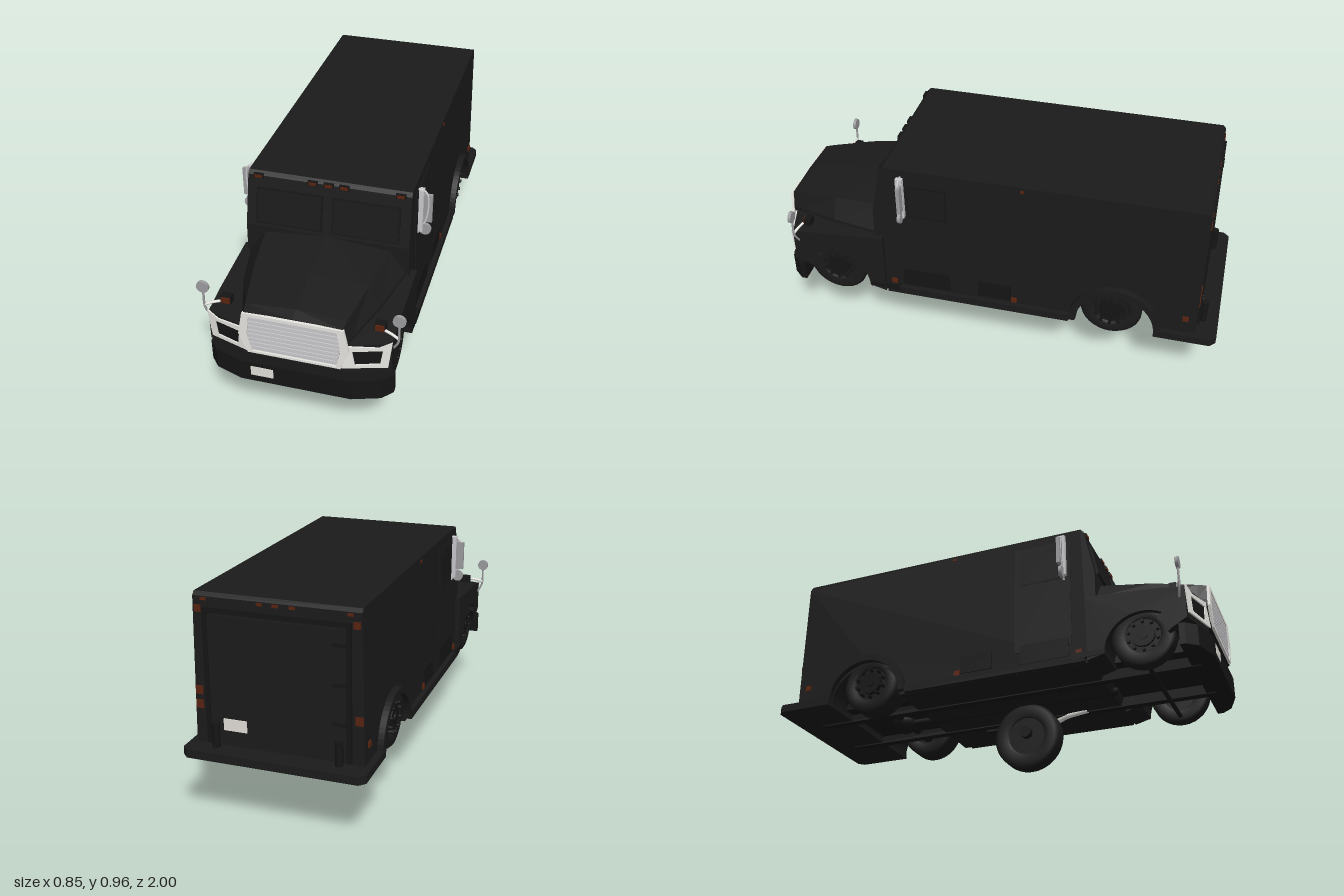
import * as THREE from 'three';

const mat = (name, color) => {
  const m = new THREE.MeshStandardMaterial({ color, side: THREE.DoubleSide });
  m.name = name;
  return m;
};

export function createModel() {
  const M = {
    body: mat('charcoal paint', 0x1b1b1b), trim: mat('black trim', 0x151515),
    glass: mat('dark glass', 0x191919), tyre: mat('rubber', 0x1b1b1b),
    chrome: mat('bright chrome', 0xf4f3ee), steel: mat('grey steel', 0x9c9c9f),
    slat: mat('polished slats', 0xcacace), amber: mat('amber lens', 0x5a2410),
    plate: mat('blank plate', 0xe3e0d9),
  };
  const truck = new THREE.Group();
  truck.name = 'armoredTruck';

  // ---------- helpers ----------
  const add = (name, geo, m, x = 0, y = 0, z = 0, parent = truck) => {
    const mesh = new THREE.Mesh(geo, m);
    mesh.name = name;
    mesh.position.set(x, y, z);
    parent.add(mesh);
    return mesh;
  };
  const box = (name, m, w, h, d, x, y, z, p) => add(name, new THREE.BoxGeometry(w, h, d), m, x, y, z, p);
  const both = (f) => [-1, 1].forEach(f);
  const poly = (pts) => new THREE.Shape(pts.map(([a, b]) => new THREE.Vector2(a, b)));
  const extrude = (shape, depth) => new THREE.ExtrudeGeometry(shape, { depth, bevelEnabled: false, curveSegments: 14 });
  const tube = (name, m, r, pts) => add(name, new THREE.TubeGeometry(
    new THREE.CatmullRomCurve3(pts.map((p) => new THREE.Vector3(...p))), 16, r, 8), m);
  const rod = (name, m, r, len, axis, x, y, z, p) => {
    const g = new THREE.CylinderGeometry(r, r, len, 20);
    if (axis === 'x') g.rotateZ(Math.PI / 2);
    if (axis === 'z') g.rotateX(Math.PI / 2);
    return add(name, g, m, x, y, z, p);
  };
  // side profile (z, y) extruded across x, and plan outline (x, z) extruded down from y = 0
  const sideExtrude = (shape, width) => extrude(shape, width).translate(0, 0, -width / 2).rotateY(-Math.PI / 2);
  const planExtrude = (shape, height) => extrude(shape, height).rotateX(Math.PI / 2);
  const bend = (g, rule) => {
    const p = g.attributes.position, v = new THREE.Vector3();
    for (let i = 0; i < p.count; i++) {
      rule(v.fromBufferAttribute(p, i));
      p.setXYZ(i, v.x, v.y, v.z);
    }
    g.computeVertexNormals();
    return g;
  };
  // half sections mirrored in x and joined along z, faceted
  const loft = (sections) => {
    const rings = sections.map(([z, pts]) => [...pts.map(([x, y]) => [x, y, z]),
      ...pts.slice(1).reverse().map(([x, y]) => [-x, y, z])]);
    const pos = [], n = rings[0].length;
    for (let s = 0; s < rings.length - 1; s++) for (let i = 0; i < n; i++) {
      const a = rings[s][i], b = rings[s][(i + 1) % n], c = rings[s + 1][(i + 1) % n], d = rings[s + 1][i];
      pos.push(...a, ...d, ...c, ...a, ...c, ...b);
    }
    const g = new THREE.BufferGeometry();
    g.setAttribute('position', new THREE.Float32BufferAttribute(pos, 3));
    g.computeVertexNormals();
    return g;
  };
  const slope = 0.02;
  const halfWidth = (y) => 0.358 - (y - 0.3) * slope;

  // ---------- armoured box with rear wheel cut-outs and sloping cab front ----------
  const profile = new THREE.Shape();
  profile.moveTo(0.5, 0.3).lineTo(0.54, 0.42).lineTo(0.54, 0.73).lineTo(0.495, 0.95).lineTo(0.48, 0.965)
    .lineTo(-0.895, 0.965).lineTo(-0.908, 0.95).lineTo(-0.908, 0.3).lineTo(-0.73, 0.3);
  profile.absarc(-0.555, 0.3, 0.175, Math.PI, 0, true);
  profile.lineTo(0.5, 0.3);
  add('cargoBody', bend(sideExtrude(profile, 2), (v) => { v.x = Math.sign(v.x) * halfWidth(v.y); }), M.body);

  // ---------- hood and fenders ----------
  add('hood', loft([
    [0.53, [[0, 0.73], [0.27, 0.705], [0.34, 0.61], [0.35, 0.44]]],
    [0.76, [[0, 0.7], [0.24, 0.685], [0.29, 0.6], [0.3, 0.44]]],
    [0.95, [[0, 0.668], [0.205, 0.655], [0.225, 0.58], [0.23, 0.44]]],
    [0.992, [[0, 0.652], [0.2, 0.645], [0.215, 0.57], [0.19, 0.44]]],
  ]), M.body);
  const fender = new THREE.Shape();
  fender.moveTo(0.5, 0.3).lineTo(0.5, 0.6).lineTo(0.86, 0.578).lineTo(0.98, 0.56).lineTo(0.98, 0.42).lineTo(0.91, 0.38);
  fender.absarc(0.74, 0.32, 0.165, 0.3, Math.PI, false);
  fender.lineTo(0.5, 0.3);
  const sweep = (v) => { if (v.z > 0.85) v.z -= (Math.abs(v.x) - 0.2) * 0.3; };
  both((s) => {
    add('frontFender', bend(sideExtrude(fender, 0.175).translate(s * 0.29, 0, 0), sweep), M.body);
    // raised lip round the rear wheel
    const lip = new THREE.Shape();
    lip.absarc(0, 0, 0.205, 0, Math.PI, false);
    lip.absarc(0, 0, 0.175, Math.PI, 0, true);
    add('rearArchLip', sideExtrude(lip, 0.04), M.body, s * 0.362, 0.315, -0.555);
    box('cabStep', M.trim, 0.06, 0.025, 0.14, s * 0.35, 0.33, 0.5);
    box('sill', M.body, 0.04, 0.035, 0.84, s * 0.359, 0.318, 0.07);
  });

  // ---------- grille and headlights ----------
  const outer = poly([[-0.205, 0.645], [0.205, 0.645], [0.225, 0.54], [0.19, 0.45], [-0.19, 0.45], [-0.225, 0.54]]);
  outer.holes.push(poly([[-0.178, 0.63], [0.178, 0.63], [0.19, 0.54], [0.172, 0.46], [-0.172, 0.46], [-0.19, 0.54]]));
  add('grilleFrame', extrude(outer, 0.012), M.chrome, 0, 0, 0.988);
  box('grilleBacking', M.trim, 0.36, 0.17, 0.004, 0, 0.545, 0.989);
  for (let i = 0; i < 8; i++) {
    const y = 0.474 + i * 0.0207, w = 2 * (y < 0.54 ? 0.172 + (y - 0.46) * 0.22 : 0.19 - (y - 0.54) * 0.13);
    box('grilleSlat', M.slat, w, 0.017, 0.006, 0, y, 0.994);
  }
  const lampRing = poly([[0.19, 0.445], [0.365, 0.445], [0.38, 0.57], [0.33, 0.545], [0.21, 0.555]]);
  lampRing.holes.push(poly([[0.24, 0.46], [0.335, 0.463], [0.345, 0.53], [0.23, 0.53]]));
  both((s) => {
    const shear = (v) => { v.z -= (v.x - 0.2) * 0.3; v.x *= s; };
    add('headlightSurround', bend(extrude(lampRing, 0.007).translate(0, 0, 0.98), shear), M.chrome);
    add('headlight', bend(extrude(poly([[0.243, 0.465], [0.333, 0.467], [0.341, 0.525], [0.235, 0.525]]), 0.004)
      .translate(0, 0, 0.981), shear), M.trim);
    box('turnSignal', M.trim, 0.044, 0.034, 0.03, s * 0.318, 0.594, 0.87);
    box('turnSignalLens', M.amber, 0.036, 0.026, 0.006, s * 0.318, 0.594, 0.888);
  });

  // ---------- bumpers, plates, rear step ----------
  const bumper = poly([[-0.385, 0.89], [-0.385, 0.915], [-0.345, 0.96], [-0.23, 0.998],
    [0.23, 0.998], [0.345, 0.96], [0.385, 0.915], [0.385, 0.89]]);
  add('frontBumper', planExtrude(bumper, 0.095), M.trim, 0, 0.393, 0);
  box('frontApron', M.trim, 0.66, 0.07, 0.04, 0, 0.415, 0.9);
  box('frontPlate', M.plate, 0.095, 0.045, 0.006, -0.137, 0.352, 0.997);
  // step wraps round the rear corners as far as the wheels
  const step = poly([[-0.385, -0.73], [-0.385, -0.975], [-0.36, -1], [0.36, -1], [0.385, -0.975],
    [0.385, -0.73], [0.34, -0.73], [0.34, -0.89], [-0.34, -0.89], [-0.34, -0.73]]);
  add('rearStep', planExtrude(step, 0.035), M.body, 0, 0.335, 0);
  box('rearPlate', M.plate, 0.1, 0.05, 0.006, 0.18, 0.43, -0.918);
  both((s) => rod('stepPost', M.trim, 0.016, 0.11, 'y', s * 0.26, 0.385, -0.932));

  // ---------- rear door ----------
  box('rearDoor', M.body, 0.58, 0.53, 0.012, 0, 0.615, -0.911);
  both((s) => box('doorRail', M.trim, 0.02, 0.56, 0.016, s * 0.295, 0.62, -0.912));
  box('doorHeader', M.trim, 0.61, 0.02, 0.016, 0, 0.9, -0.912);
  for (let i = 0; i < 3; i++) box('doorHinge', M.trim, 0.06, 0.015, 0.014, -0.26, 0.5 + i * 0.16, -0.916);

  // ---------- windows, doors and hatches ----------
  both((s) => {
    const shield = new THREE.Group();
    shield.name = 'windshield';
    shield.position.set(s * 0.163, 0.823, 0.523);
    shield.rotation.x = -0.2;
    truck.add(shield);
    box('windshieldFrame', M.trim, 0.285, 0.16, 0.006, 0, 0, 0, shield);
    box('windshieldGlass', M.glass, 0.27, 0.146, 0.008, 0, 0, 0.002, shield);
    const panel = (name, m, z, y, d, h, out = 0.001) => {
      const p = box(name, m, 0.008, h, d, s * (halfWidth(y) + out), y, z);
      p.rotation.z = s * slope;
    };
    panel('cabDoor', M.body, 0.3, 0.66, 0.26, 0.52, -0.001);
    panel('sideWindowFrame', M.trim, 0.29, 0.81, 0.18, 0.16, 0.001);
    panel('sideWindow', M.glass, 0.29, 0.81, 0.168, 0.148, 0.002);
    panel('lowerHatch', M.trim, 0.305, 0.39, 0.22, 0.09);
    panel('smallHatch', M.trim, -0.01, 0.39, 0.15, 0.08);
    [[0.46, 0.355], [-0.1, 0.355], [-0.86, 0.41]].forEach(([z, y]) =>
      panel('sideMarker', M.amber, z, y, 0.026, 0.024, 0.003));
    panel('upperMarker', M.amber, -0.13, 0.945, 0.016, 0.012, 0);
    box('upperRearLamp', M.amber, 0.028, 0.028, 0.008, s * 0.325, 0.9, -0.908);
  });
  // tail lamps: a pair on the left, a single one on the right
  [[0.335, 0.56], [0.335, 0.5], [-0.335, 0.52]].forEach(([x, y]) =>
    box('tailLamp', M.amber, 0.032, 0.036, 0.008, x, y, -0.908));
  [-0.3, -0.068, 0, 0.065, 0.3].forEach((x) => {
    box('roofMarkerBase', M.trim, 0.042, 0.02, 0.012, x, 0.948, 0.494);
    box('roofMarker', M.amber, 0.032, 0.014, 0.006, x, 0.948, 0.499);
    box('rearMarker', M.amber, 0.024, 0.012, 0.006, x, 0.94, -0.908);
  });

  // ---------- mirrors ----------
  both((s) => {
    box('mainMirror', M.steel, 0.036, 0.13, 0.016, s * 0.392, 0.845, 0.395);
    box('mirrorBracket', M.slat, 0.02, 0.2, 0.03, s * 0.365, 0.835, 0.4);
    tube('mirrorArm', M.slat, 0.005, [[s * 0.35, 0.935, 0.4], [s * 0.385, 0.92, 0.4], [s * 0.388, 0.8, 0.4], [s * 0.352, 0.72, 0.4]]);
    rod('roundMirror', M.steel, 0.026, 0.014, 'z', s * 0.383, 0.745, 0.4);
    rod('fenderMirror', M.steel, 0.026, 0.014, 'z', s * 0.4, 0.665, 0.91);
    tube('fenderMirrorStalk', M.steel, 0.005, [[s * 0.4, 0.64, 0.91], [s * 0.397, 0.56, 0.91], [s * 0.37, 0.51, 0.9]]);
    tube('fenderMirrorBrace', M.chrome, 0.006, [[s * 0.34, 0.59, 0.89], [s * 0.37, 0.585, 0.9], [s * 0.4, 0.575, 0.91]]);
  });

  // ---------- wheels ----------
  const wheel = (name, r, w, x, y, z, side, hubMat) => {
    const g = new THREE.Group();
    g.name = name;
    g.position.set(x, y, z);
    truck.add(g);
    const h = w / 2, pts = [[0.56, -0.8], [0.62, -1], [0.9, -1], [1, -0.75], [1, 0.75], [0.9, 1], [0.62, 1], [0.56, 0.8]];
    const tyre = new THREE.LatheGeometry(pts.map(([a, b]) => new THREE.Vector2(a * r, b * h)), 32);
    add('tyre', tyre.rotateZ(Math.PI / 2), M.tyre, 0, 0, 0, g);
    rod('rim', M.body, r * 0.58, w * 0.7, 'x', 0, 0, 0, g);
    rod('rimCentre', M.trim, r * 0.38, w * 0.3, 'x', side * h * 0.8, 0, 0, g);
    rod('hub', hubMat, r * 0.16, w * 0.15, 'x', side * h * 1.05, 0, 0, g);
    for (let i = 0; i < 10; i++) {
      const a = i * Math.PI / 5;
      rod('wheelNut', M.trim, r * 0.055, w * 0.25, 'x', side * h, Math.cos(a) * r * 0.48, Math.sin(a) * r * 0.48, g);
    }
  };
  both((s) => {
    wheel('frontWheel', 0.135, 0.065, s * 0.322, 0.385, 0.735, s, M.trim);
    wheel('rearWheel', 0.135, 0.12, s * 0.295, 0.385, -0.535, s, M.trim);
  });
  wheel('spareWheel', 0.152, 0.084, 0, 0.153, 0.1, 1, M.chrome);
  rod('spareBoss', M.trim, 0.026, 0.03, 'x', -0.042, 0.165, 0.1);

  // ---------- chassis ----------
  box('wheelWellCore', M.trim, 0.46, 0.16, 0.44, 0, 0.41, -0.55);
  box('engineBay', M.trim, 0.46, 0.14, 0.46, 0, 0.41, 0.7);
  both((s) => box('frameRail', M.trim, 0.04, 0.06, 1.82, s * 0.15, 0.325, 0.02));
  rod('frontAxle', M.trim, 0.01, 0.56, 'x', 0, 0.272, 0.735);
  rod('rearAxle', M.trim, 0.025, 0.5, 'x', 0, 0.34, -0.535);
  add('differential', new THREE.SphereGeometry(0.06, 16, 12), M.trim, 0, 0.33, -0.535);
  rod('driveShaft', M.trim, 0.018, 1.05, 'z', 0, 0.315, 0);
  rod('muffler', M.chrome, 0.026, 0.2, 'z', 0.17, 0.28, 0.0);
  tube('exhaustPipe', M.chrome, 0.013, [[0.17, 0.28, 0.1], [0.17, 0.286, 0.17], [0.14, 0.293, 0.24], [0.13, 0.302, 0.34]]);
  rod('tailPipe', M.trim, 0.012, 0.08, 'z', 0.17, 0.285, -0.135);
  return truck;
}
